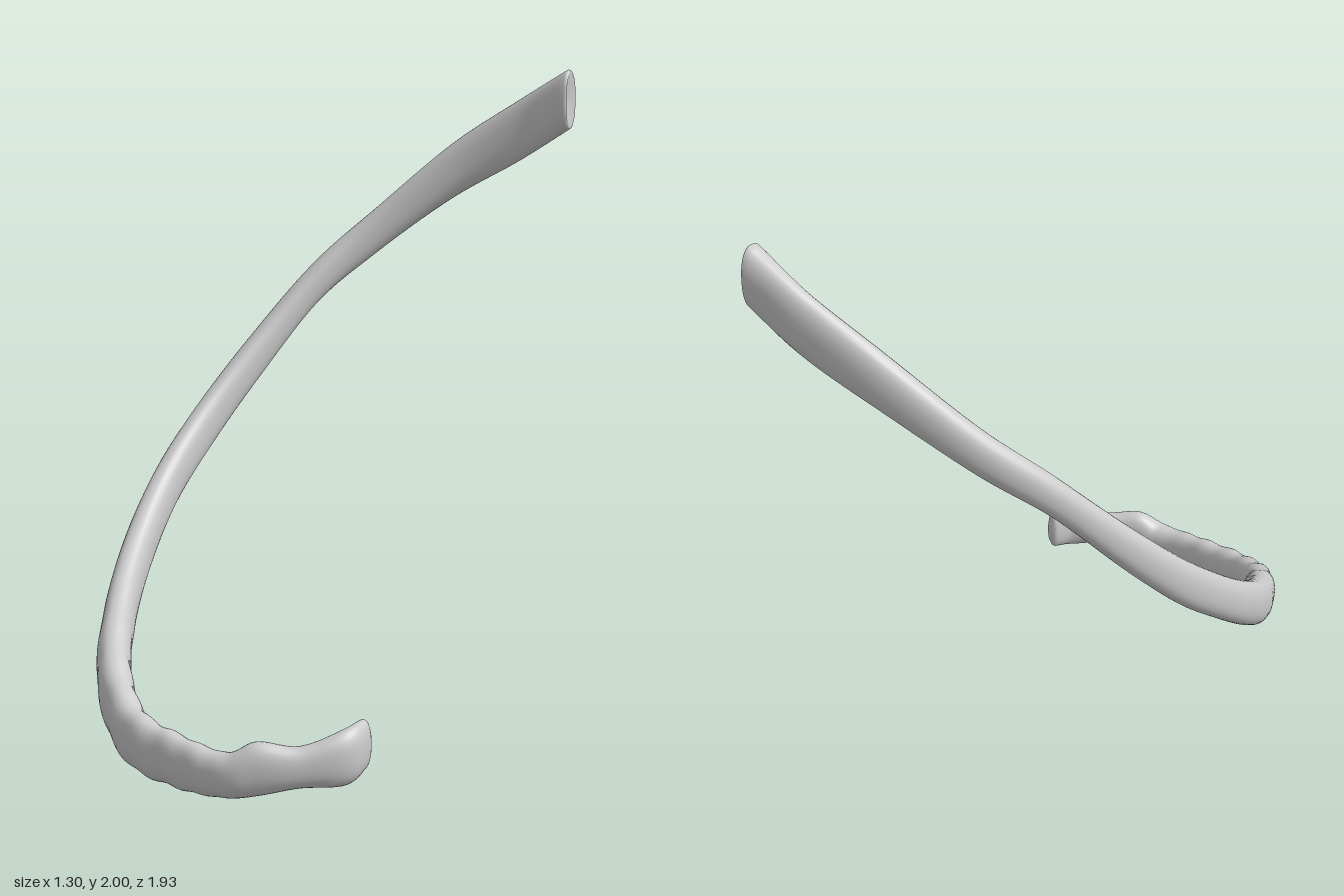
import * as THREE from 'three';

// Stations along the rib: centre x, y, z, half thickness, half height
const STATIONS = [
  [0.165, 1.9, -0.915, 0.05, 0.1],
  [0.0, 1.795, -0.865, 0.042, 0.102],
  [-0.2, 1.655, -0.755, 0.042, 0.092],
  [-0.39, 1.455, -0.585, 0.042, 0.076],
  [-0.505, 1.285, -0.41, 0.042, 0.07],
  [-0.58, 1.055, -0.2, 0.04, 0.08],
  [-0.61, 0.855, 0.0, 0.04, 0.086],
  [-0.587, 0.685, 0.2, 0.043, 0.085],
  [-0.51, 0.52, 0.4, 0.046, 0.088],
  [-0.385, 0.365, 0.6, 0.048, 0.092],
  [-0.205, 0.225, 0.795, 0.052, 0.09],
  [0.0, 0.118, 0.905, 0.05, 0.085],
  [0.2, 0.083, 0.912, 0.043, 0.077],
  [0.36, 0.075, 0.89, 0.048, 0.065],
  [0.44, 0.1, 0.845, 0.045, 0.078],
  [0.53, 0.105, 0.765, 0.038, 0.06],
  [0.605, 0.125, 0.665, 0.038, 0.08],
  [0.605, 0.145, 0.58, 0.024, 0.074],
];
const STEPS = 170;
const SIDES = 28;

function curveOf(pick) {
  return new THREE.CatmullRomCurve3(STATIONS.map(pick), false, 'catmullrom', 0.5);
}

function ribGeometry() {
  const path = curveOf((s) => new THREE.Vector3(s[0], s[1], s[2]));
  const size = curveOf((s) => new THREE.Vector3(s[3], s[4], 0));
  const up = new THREE.Vector3(0, 1, 0);
  const positions = [];
  const index = [];
  let rings = 0;

  // One upright oval section, optionally shrunk and shifted along the path
  function addRing(t, scale = 1, shift = 0) {
    const c = path.getPoint(t);
    const dir = path.getTangent(t).setY(0).normalize();
    const side = new THREE.Vector3().crossVectors(up, dir);
    const { x: w, y: h } = size.getPoint(t);
    c.addScaledVector(dir, shift);
    // Gentle ripples on the roughened front part
    const rough = THREE.MathUtils.smoothstep(t, 0.5, 0.62) * (1 - THREE.MathUtils.smoothstep(t, 0.68, 0.8));
    for (let j = 0; j < SIDES; j++) {
      const a = (j / SIDES) * Math.PI * 2;
      const bump = 1 + rough * 0.045 * Math.sin(t * 190 + 1.5 * Math.sin(a));
      const ca = Math.cos(a), sa = Math.sin(a);
      const u = Math.sign(ca) * Math.abs(ca) ** 0.88 * w * scale * bump;
      const v = Math.sign(sa) * Math.abs(sa) ** 0.88 * h * scale * bump;
      positions.push(c.x + side.x * u, c.y + v, c.z + side.z * u);
    }
    rings++;
  }

  // Dished rear end, long shaft, rounded front end
  addRing(0, 0.001, 0.0);
  addRing(0, 0.6, -0.003);
  addRing(0, 0.88, -0.01);
  addRing(0, 0.96, -0.007);
  for (let i = 0; i <= STEPS; i++) addRing(i / STEPS);
  addRing(1, 0.92, 0.008);
  addRing(1, 0.7, 0.016);
  addRing(1, 0.001, 0.02);

  for (let i = 0; i < rings - 1; i++) {
    for (let j = 0; j < SIDES; j++) {
      const a = i * SIDES + j;
      const b = i * SIDES + ((j + 1) % SIDES);
      index.push(a, b, a + SIDES, b, b + SIDES, a + SIDES);
    }
  }
  const geometry = new THREE.BufferGeometry();
  geometry.setAttribute('position', new THREE.Float32BufferAttribute(positions, 3));
  geometry.setIndex(index);
  geometry.computeVertexNormals();
  return geometry;
}

export function createModel() {
  const group = new THREE.Group();
  group.name = 'rib';
  const bone = new THREE.Mesh(ribGeometry(), new THREE.MeshStandardMaterial({ color: 0xcccccc }));
  bone.name = 'ribBone';
  group.add(bone);
  return group;
}
